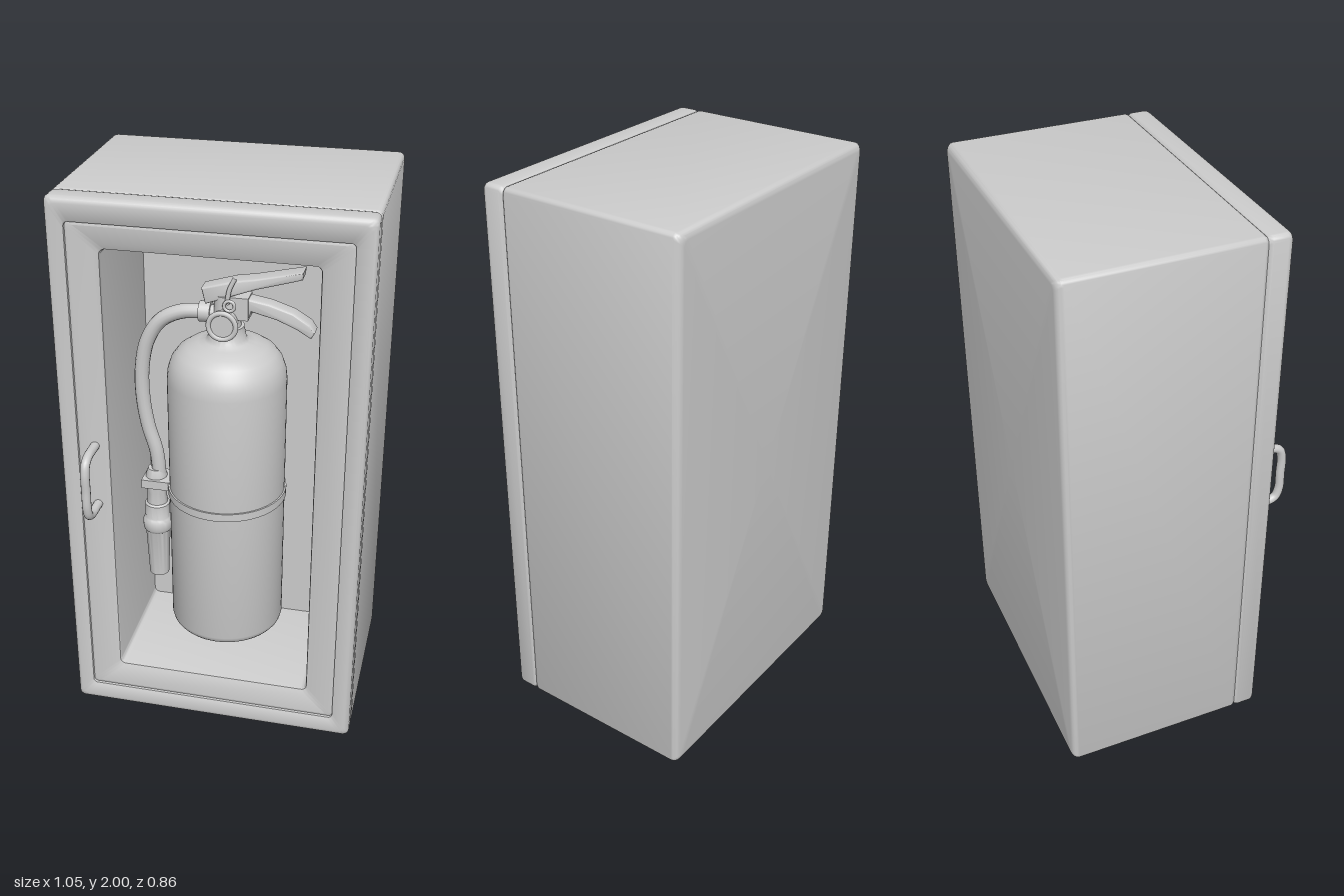
import * as THREE from 'three';
import { toCreasedNormals } from 'three/addons/utils/BufferGeometryUtils.js';

const grey = new THREE.MeshStandardMaterial({ color: 0xcccccc });
grey.name = 'light grey';

const BOTTLE_Z = 0.035;

function add(group, name, geometry, x = 0, y = 0, z = 0) {
  const mesh = new THREE.Mesh(geometry, grey);
  mesh.name = name;
  mesh.position.set(x, y, z);
  group.add(mesh);
  return mesh;
}

// Skin through rounded rectangles [halfWidth, halfHeight, cornerRadius, z], outward when z rises
function loft(rings) {
  const steps = 5, n = 4 * (steps + 1), pos = [], index = [];
  for (const [w, h, r, z] of rings) {
    for (let c = 0; c < 4; c++) {
      const sx = c === 0 || c === 3 ? 1 : -1, sy = c < 2 ? 1 : -1;
      for (let s = 0; s <= steps; s++) {
        const a = (c + s / steps) * Math.PI / 2;
        pos.push(sx * (w - r) + r * Math.cos(a), sy * (h - r) + r * Math.sin(a), z);
      }
    }
  }
  const zero = (i) => rings[i][0] === 0;
  for (let i = 0; i < rings.length - 1; i++) {
    for (let j = 0; j < n; j++) {
      const k = (j + 1) % n;
      const a = i * n + j, b = i * n + k, c = a + n, d = b + n;
      if (!zero(i)) index.push(a, b, d);
      if (!zero(i + 1)) index.push(a, d, c);
    }
  }
  const g = new THREE.BufferGeometry();
  g.setAttribute('position', new THREE.Float32BufferAttribute(pos, 3));
  g.setIndex(index);
  return toCreasedNormals(g, 0.6);
}

// Quarter-round edge of the cabinet; front = true rolls from the side onto the front
function roundEdge(w, h, z, r, front) {
  const out = [];
  for (let i = 0; i <= 5; i++) {
    const a = (front ? i : 5 - i) / 5 * Math.PI / 2;
    const inset = r * (1 - Math.cos(a));
    out.push([w - inset, h - inset, 0.02, z + (front ? -1 : 1) * r * (1 - Math.sin(a))]);
  }
  return out;
}

function lathe(points, segments = 48) {
  const g = new THREE.LatheGeometry(points.map(([r, y]) => new THREE.Vector2(r, y)), segments);
  return toCreasedNormals(g, 0.6);
}

function tube(points, radius, segments = 48) {
  const curve = new THREE.CatmullRomCurve3(points.map((p) => new THREE.Vector3(...p)));
  return new THREE.TubeGeometry(curve, segments, radius, 14);
}

// Side outline extruded symmetrically in z
function lever(points, thickness) {
  const shape = new THREE.Shape(points.map(([x, y]) => new THREE.Vector2(x, y)));
  const g = new THREE.ExtrudeGeometry(shape, {
    depth: thickness - 0.016, bevelThickness: 0.008, bevelSize: 0.006, bevelSegments: 3,
  });
  g.translate(0, 0, -thickness / 2 + 0.008);
  return toCreasedNormals(g, 0.6);
}

function buildCabinet() {
  const g = new THREE.Group();
  g.name = 'cabinet';
  // Box up to the door seam
  add(g, 'cabinetBody', loft([
    [0, 0, 0, -0.43],
    ...roundEdge(0.525, 1, -0.43, 0.025, false),
    [0.525, 1, 0.02, 0.222], [0.522, 0.998, 0.02, 0.23], [0.518, 0.994, 0.02, 0.235],
  ]), 0, 1, 0);
  // Door frame with stepped bevel, opening and recessed interior
  add(g, 'doorFrameAndRecess', loft([
    [0.518, 0.994, 0.02, 0.235], [0.522, 0.998, 0.02, 0.24], [0.525, 1, 0.02, 0.248],
    ...roundEdge(0.525, 1, 0.32, 0.022, true),
    [0.466, 0.926, 0.02, 0.32], [0.461, 0.921, 0.015, 0.317], [0.46, 0.92, 0.015, 0.308],
    [0.45, 0.91, 0.015, 0.312], [0.375, 0.847, 0.02, 0.297],
    [0.358, 0.83, 0.02, 0.29], [0.355, 0.827, 0.02, 0.28],
    [0.355, 0.827, 0.02, -0.18], [0, 0, 0, -0.18],
  ]), 0, 1, 0);
  // Pull handle
  const x = -0.405;
  add(g, 'doorHandle', tube([
    [x, 0.885, 0.29], [x, 0.885, 0.33], [x, 0.886, 0.375], [x, 0.9, 0.405], [x, 0.935, 0.417],
    [x, 1, 0.417], [x, 1.07, 0.417], [x, 1.103, 0.405], [x, 1.117, 0.375], [x, 1.118, 0.33], [x, 1.118, 0.29],
  ], 0.016, 64));
  return g;
}

function buildExtinguisher() {
  const g = new THREE.Group();
  g.name = 'extinguisher';
  g.position.z = BOTTLE_Z;

  // Bottle with rounded base, domed shoulder and neck
  add(g, 'bottle', lathe([
    [0, 0.287], [0.185, 0.287], [0.198, 0.29], [0.206, 0.3], [0.21, 0.315], [0.21, 1.3],
    [0.206, 1.335], [0.194, 1.37], [0.172, 1.4], [0.14, 1.422], [0.1, 1.436], [0.076, 1.442],
    [0.067, 1.452], [0.063, 1.475], [0.06, 1.485], [0.06, 1.497], [0, 1.497],
  ], 64));
  add(g, 'bottleStrap', lathe([
    [0.205, 0.836], [0.216, 0.836], [0.216, 0.866], [0.205, 0.866],
  ], 64));

  // Valve block
  add(g, 'valveStem', new THREE.CylinderGeometry(0.042, 0.05, 0.13, 32), 0, 1.545, 0);
  add(g, 'valveBlock', new THREE.BoxGeometry(0.09, 0.08, 0.07), 0.035, 1.57, 0);

  // Pressure gauge facing the front
  const gauge = add(g, 'gauge', new THREE.CylinderGeometry(0.045, 0.045, 0.07, 32), 0, 1.522, 0.045);
  gauge.rotation.x = Math.PI / 2;
  add(g, 'gaugeRim', new THREE.TorusGeometry(0.047, 0.009, 10, 36), 0, 1.522, 0.078);

  // Carrying levers
  add(g, 'upperLever', lever([
    [-0.065, 1.585], [0.04, 1.625], [0.1, 1.648], [0.255, 1.695], [0.258, 1.712],
    [0.1, 1.674], [0.03, 1.662], [-0.075, 1.63],
  ], 0.07));
  add(g, 'lowerLever', lever([
    [0.02, 1.545], [0.075, 1.54], [0.085, 1.568], [0.18, 1.545], [0.25, 1.515], [0.292, 1.49], [0.3, 1.505],
    [0.285, 1.528], [0.23, 1.562], [0.15, 1.588], [0.06, 1.603], [0.02, 1.6],
  ], 0.06));

  // Safety pin
  add(g, 'safetyPin', tube([[0.01, 1.59, 0.045], [0.018, 1.64, 0.046], [0.038, 1.685, 0.044]], 0.008, 16));
  add(g, 'pinRing', new THREE.TorusGeometry(0.018, 0.006, 8, 24), 0.02, 1.587, 0.055);

  // Hose down the right side
  add(g, 'hose', tube([
    [0, 1.535, 0], [-0.07, 1.538, 0], [-0.16, 1.53, 0], [-0.235, 1.49, 0], [-0.285, 1.41, 0],
    [-0.308, 1.3, 0], [-0.308, 1.18, 0], [-0.292, 1.07, 0], [-0.265, 0.97, 0], [-0.255, 0.85, 0],
  ], 0.026, 80));
  const collar = add(g, 'hoseCollar', new THREE.CylinderGeometry(0.036, 0.036, 0.04, 24), -0.075, 1.538, 0);
  collar.rotation.z = Math.PI / 2;

  // Clip and discharge nozzle
  add(g, 'hoseClip', new THREE.BoxGeometry(0.115, 0.034, 0.1), -0.255, 0.85, 0);
  const nozzle = add(g, 'nozzle', lathe([
    [0, 0.44], [0.037, 0.44], [0.046, 0.635], [0.05, 0.638], [0.055, 0.648], [0.055, 0.68], [0.049, 0.69],
    [0.046, 0.695], [0.046, 0.75], [0.038, 0.756], [0.036, 0.8], [0.04, 0.83], [0.04, 0.87], [0.03, 0.9], [0, 0.9],
  ], 32), -0.268, 0, 0);
  nozzle.rotation.y = Math.PI;
  return g;
}

export function createModel() {
  const model = new THREE.Group();
  model.name = 'extinguisherCabinet';
  model.add(buildCabinet(), buildExtinguisher());
  return model;
}
